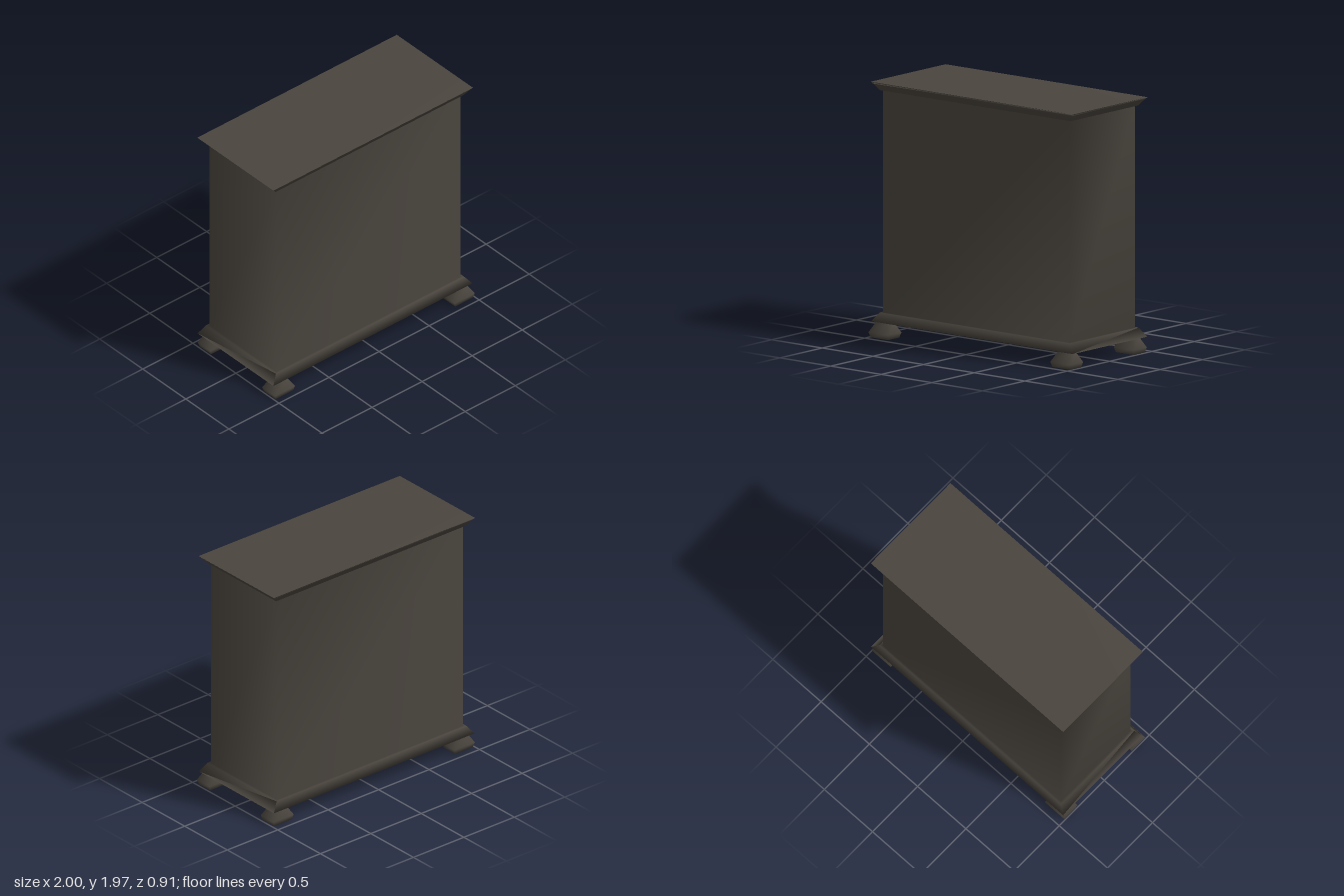
import * as THREE from 'three';

// Smooth-shaded loft through rectangular sections [y, half width, half depth]
function rectLoft(sections) {
  const positions = [];
  const index = [];
  const corners = [[1, 1], [1, -1], [-1, -1], [-1, 1]];
  for (const [y, w, d] of sections) {
    for (const [sx, sz] of corners) positions.push(sx * w, y, sz * d);
  }
  for (let s = 0; s < sections.length - 1; s++) {
    for (let i = 0; i < 4; i++) {
      const a = s * 4 + i;
      const b = s * 4 + (i + 1) % 4;
      index.push(a, b, b + 4, a, b + 4, a + 4);
    }
  }
  // End caps
  const t = (sections.length - 1) * 4;
  index.push(0, 2, 1, 0, 3, 2, t, t + 1, t + 2, t, t + 2, t + 3);
  const geometry = new THREE.BufferGeometry();
  geometry.setAttribute('position', new THREE.Float32BufferAttribute(positions, 3));
  geometry.setIndex(index);
  geometry.computeVertexNormals();
  return geometry;
}

export function createModel() {
  const group = new THREE.Group();
  group.name = 'cabinet';
  const darkWood = new THREE.MeshStandardMaterial({ color: 0x4a453e });
  darkWood.name = 'dark wood';

  // Carcass: plinth moulding, tall body and flared cornice in one smooth shell
  const carcass = new THREE.Mesh(rectLoft([
    [0.12, 0.995, 0.44],
    [0.19, 0.94, 0.405],
    [0.19, 0.92, 0.388],
    [1.905, 0.92, 0.388],
    [1.905, 0.94, 0.4],
    [1.955, 0.982, 0.43],
    [1.97, 0.997, 0.442],
  ]), darkWood);
  carcass.name = 'carcass';
  carcass.position.z = -0.01;
  group.add(carcass);

  // Four squat bun feet
  const footGeometry = rectLoft([
    [0, 0.087, 0.066],
    [0.04, 0.1, 0.075],
    [0.115, 0.055, 0.043],
    [0.13, 0.05, 0.04],
  ]);
  for (const [end, z] of [['front', 0.38], ['back', -0.37]]) {
    for (const [side, x] of [['Left', 0.895], ['Right', -0.9]]) {
      const foot = new THREE.Mesh(footGeometry, darkWood);
      foot.name = `${end}${side}Foot`;
      foot.position.set(x, 0, z);
      group.add(foot);
    }
  }
  return group;
}
